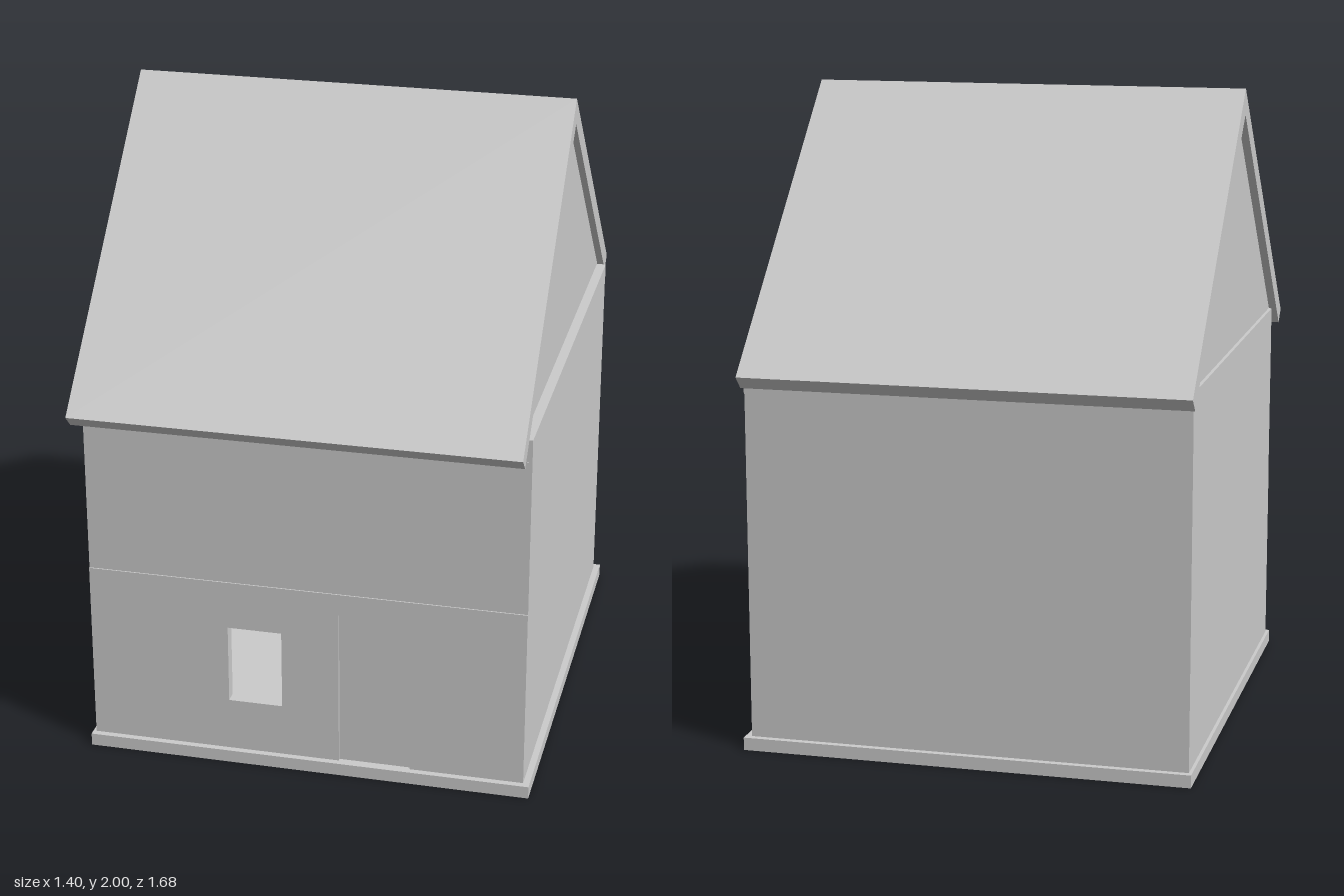
import * as THREE from 'three';

const material = new THREE.MeshStandardMaterial({ color: 0xcccccc, flatShading: true });

// Wall footprint and thickness
const X0 = -0.69, X1 = 0.68, Z = 0.74, T = 0.04;

function add(parent, name, geometry) {
  const mesh = new THREE.Mesh(geometry, material);
  mesh.name = name;
  parent.add(mesh);
}

// Box given by its two extreme corners
function box(parent, name, x0, x1, y0, y1, z0, z1) {
  const g = new THREE.BoxGeometry(x1 - x0, y1 - y0, z1 - z0);
  g.translate((x0 + x1) / 2, (y0 + y1) / 2, (z0 + z1) / 2);
  add(parent, name, g);
}

// Profile of [z, y] points swept along x from x0 to x1
function sweepX(parent, name, points, x0, x1) {
  const shape = new THREE.Shape(points.map(([z, y]) => new THREE.Vector2(z, y)));
  const g = new THREE.ExtrudeGeometry(shape, { depth: x1 - x0, bevelEnabled: false });
  g.rotateY(-Math.PI / 2);
  g.translate(x1, 0, 0);
  add(parent, name, g);
}

function rectangle(Type, x0, x1, y0, y1) {
  return new Type([[x0, y0], [x1, y0], [x1, y1], [x0, y1]].map(([x, y]) => new THREE.Vector2(x, y)));
}

// Back and side walls of one storey
function storeyWalls(parent, y0, y1) {
  box(parent, 'backWall', X0, X1, y0, y1, -Z, -Z + T);
  box(parent, 'rightWall', X0, X0 + T, y0, y1, -Z + T, Z - T);
  box(parent, 'leftWall', X1 - T, X1, y0, y1, -Z + T, Z - T);
}

export function createModel() {
  const house = new THREE.Group();
  house.name = 'house';

  // Base plate, slightly wider than the walls
  box(house, 'basePlate', -0.7, 0.7, 0, 0.04, -0.76, 0.76);

  // Ground floor: front wall with a window hole and a doorway
  const ground = new THREE.Group();
  ground.name = 'groundFloor';
  house.add(ground);
  storeyWalls(ground, 0.04, 0.55);
  const front = new THREE.Shape([
    [X0, 0.04], [0.1, 0.04], [0.1, 0.55], [X0, 0.55],
  ].map(([x, y]) => new THREE.Vector2(x, y)));
  front.holes.push(rectangle(THREE.Path, -0.25, -0.08, 0.21, 0.465));
  const frontGeometry = new THREE.ExtrudeGeometry(front, { depth: T, bevelEnabled: false });
  frontGeometry.translate(0, 0, Z - T);
  add(ground, 'frontWallWithWindow', frontGeometry);
  box(ground, 'frontWallBesideDoor', 0.325, X1, 0.04, 0.55, Z - T, Z);
  box(ground, 'door', 0.1, 0.325, 0.04, 0.55, Z - T, Z - 0.01);
  box(ground, 'ceilingSlab', X0, X1, 0.55, 0.62, -Z, Z);

  // Upper floor: closed walls, front face set back a hair
  const upper = new THREE.Group();
  upper.name = 'upperFloor';
  house.add(upper);
  storeyWalls(upper, 0.62, 1.12);
  box(upper, 'frontWall', X0, X1, 0.62, 1.12, Z - T, Z - 0.004);
  box(upper, 'ceilingSlab', X0, X1, 1.12, 1.19, -Z - 0.005, Z - 0.005);

  // Gables, inset from the ends of the roof
  const gable = [[0.74, 1.19], [0.01, 1.92], [-0.75, 1.19]];
  sweepX(house, 'rightGable', gable, -0.68, -0.64);
  sweepX(house, 'leftGable', gable, 0.61, 0.65);

  // Roof: two thick slopes meeting at the ridge
  sweepX(house, 'roof', [
    [0.01, 2], [-0.84, 1.19], [-0.8, 1.15], [0.01, 1.92], [0.805, 1.13], [0.845, 1.17],
  ], -0.705, 0.67);

  return house;
}
